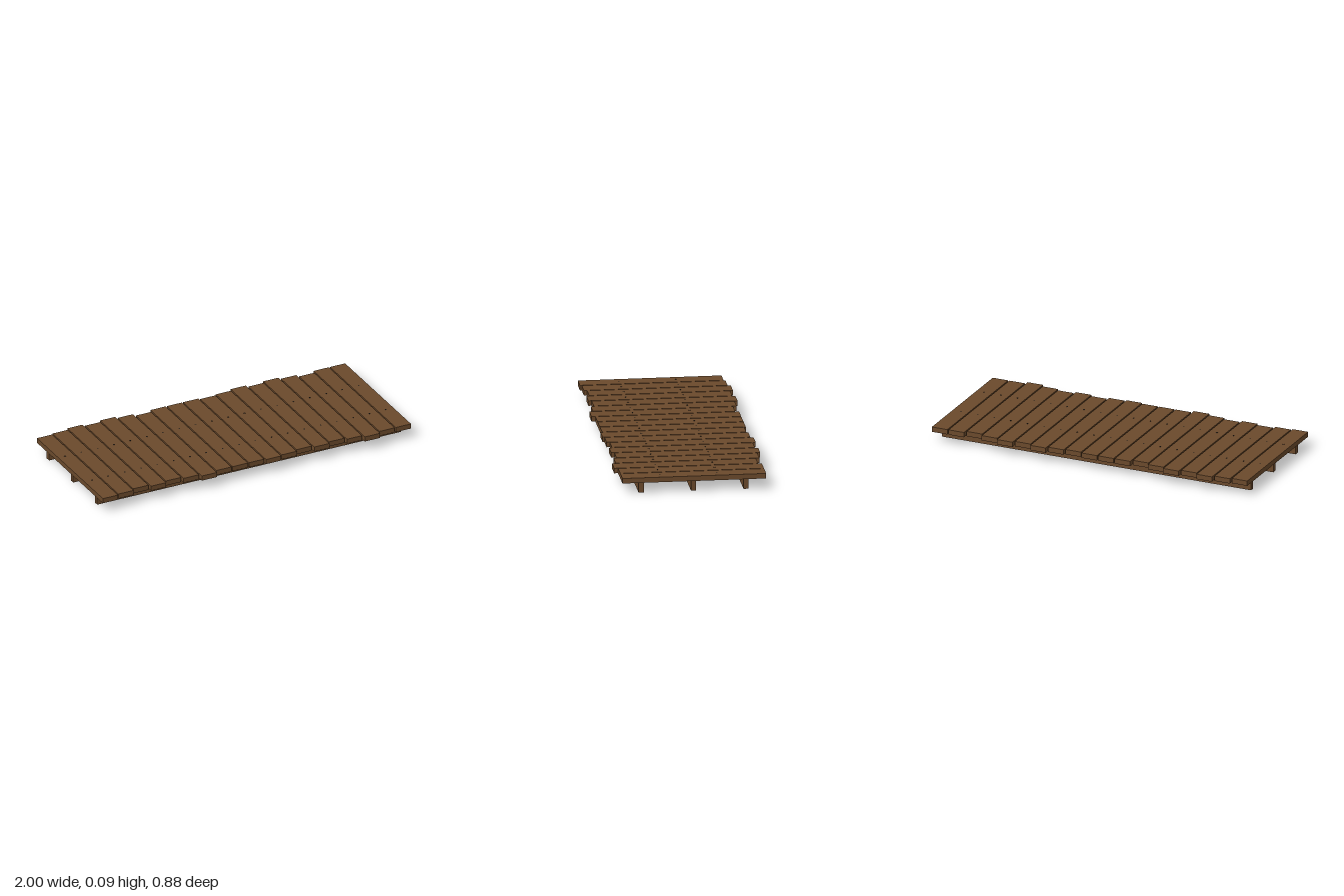
import * as THREE from 'three';

export function createModel() {
  const group = new THREE.Group();
  group.name = 'woodenWalkway';
  const wood = new THREE.MeshStandardMaterial({ color: 0x6b4a2c });
  const iron = new THREE.MeshStandardMaterial({ color: 0x1c1814 });

  const add = (name, geometry, material, x, y, z) => {
    const mesh = new THREE.Mesh(geometry, material);
    mesh.name = name;
    mesh.position.set(x, y, z);
    group.add(mesh);
  };

  const beamHeight = 0.063, plankHeight = 0.03, plankWidth = 0.098;
  const top = beamHeight + plankHeight;

  // Three long beams carrying the deck
  const beam = new THREE.BoxGeometry(1.966, beamHeight, 0.03);
  for (const z of [-0.305, 0, 0.305]) add('beam', beam, wood, 0, beamHeight / 2, z);

  // Deck planks, each slid a little along z, with two nails apiece
  const shifts = [
    0.008, -0.002, -0.02, -0.002, -0.02, -0.002, 0.02, -0.002, -0.002, -0.002,
    0.008, -0.002, -0.02, -0.002, -0.02, -0.002, 0.02, -0.002, -0.002,
  ];
  const plank = new THREE.BoxGeometry(plankWidth, plankHeight, 0.835);
  const nail = new THREE.CylinderGeometry(0.005, 0.005, 0.01, 8);
  const reach = 1 - plankWidth / 2;
  shifts.forEach((shift, i) => {
    const x = -reach + (2 * reach * i) / (shifts.length - 1);
    add('plank', plank, wood, x, beamHeight + plankHeight / 2, shift);
    add('nail', nail, iron, x - 0.006, top - 0.004, -0.139);
    add('nail', nail, iron, x, top - 0.004, 0.193);
  });

  return group;
}
